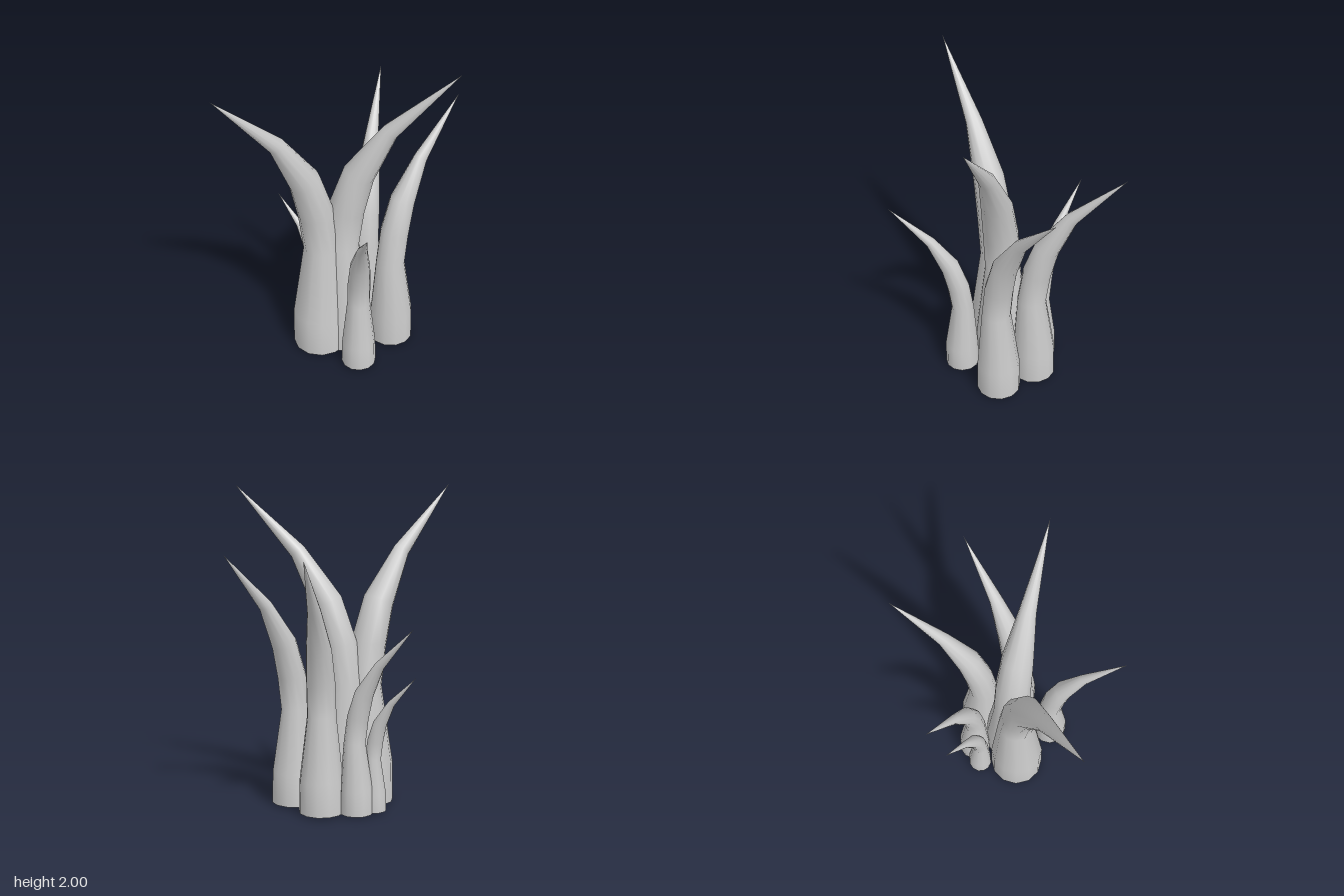
import * as THREE from 'three';

const SIDES = 12;

// Cross-sections of a blade of height 1: [outward lean, height, radius]
const SECTIONS = [
  [0, 0, 0.0875],
  [0, 0.125, 0.085],
  [-0.011, 0.375, 0.057],
  [0.008, 0.51, 0.056],
  [0.046, 0.64, 0.049],
  [0.1375, 0.795, 0.026],
  [0.335, 1, 0],
];

// One blade bending towards +x, its rings square to the spine
function bladeGeometry() {
  const positions = [];
  const indices = [];
  SECTIONS.forEach(([lean, height, radius], i) => {
    const before = SECTIONS[Math.max(i - 1, 0)];
    const after = SECTIONS[Math.min(i + 1, SECTIONS.length - 1)];
    const along = new THREE.Vector2(after[0] - before[0], after[1] - before[1]).normalize();
    for (let j = 0; j < SIDES; j++) {
      const angle = (j / SIDES) * Math.PI * 2;
      const out = Math.cos(angle) * radius;
      positions.push(lean + out * along.y, height - out * along.x, -Math.sin(angle) * radius);
    }
  });
  for (let i = 0; i < SECTIONS.length - 1; i++) {
    for (let j = 0; j < SIDES; j++) {
      const a = i * SIDES + j;
      const b = i * SIDES + ((j + 1) % SIDES);
      indices.push(a, b, a + SIDES);
      // the last band closes to a point
      if (i < SECTIONS.length - 2) indices.push(b, b + SIDES, a + SIDES);
    }
  }
  const geometry = new THREE.BufferGeometry();
  geometry.setAttribute('position', new THREE.Float32BufferAttribute(positions, 3));
  geometry.setIndex(indices);
  geometry.computeVertexNormals();
  return geometry;
}

// name, base x, z, base height, blade height, tip x, z
const BLADES = [
  ['tallFrontBlade', -0.18, 0.15, 0.005, 1.99, -0.64, 0.63],
  ['tallLeftBlade', -0.035, 0.07, 0, 2, 0.635, 0.07],
  ['middleBackBlade', 0.05, -0.17, 0.01, 1.6, 0.045, -0.71],
  ['middleLeftBlade', 0.26, 0.005, 0.01, 1.6, 0.58, -0.43],
  ['shortFrontBlade', 0.105, 0.305, 0.01, 1.245, 0.23, 0.71],
  ['shortBackBlade', -0.165, -0.155, 0.01, 1.175, -0.53, -0.32],
  ['smallestBlade', -0.265, -0.085, 0.01, 0.865, -0.53, -0.205],
];

export function createModel() {
  const model = new THREE.Group();
  model.name = 'grassTuft';
  const material = new THREE.MeshStandardMaterial({ color: 0xcccccc });
  const side = bladeGeometry();
  const bottom = new THREE.CircleGeometry(SECTIONS[0][2], SIDES).rotateX(Math.PI / 2);

  for (const [name, x, z, y, height, tipX, tipZ] of BLADES) {
    const blade = new THREE.Group();
    blade.name = name;
    const leaf = new THREE.Mesh(side, material);
    leaf.name = 'leaf';
    const base = new THREE.Mesh(bottom, material);
    base.name = 'leafBase';
    blade.add(leaf, base);
    blade.position.set(x, y, z);
    blade.rotation.y = Math.atan2(z - tipZ, tipX - x);
    blade.scale.setScalar(height);
    model.add(blade);
  }
  return model;
}
